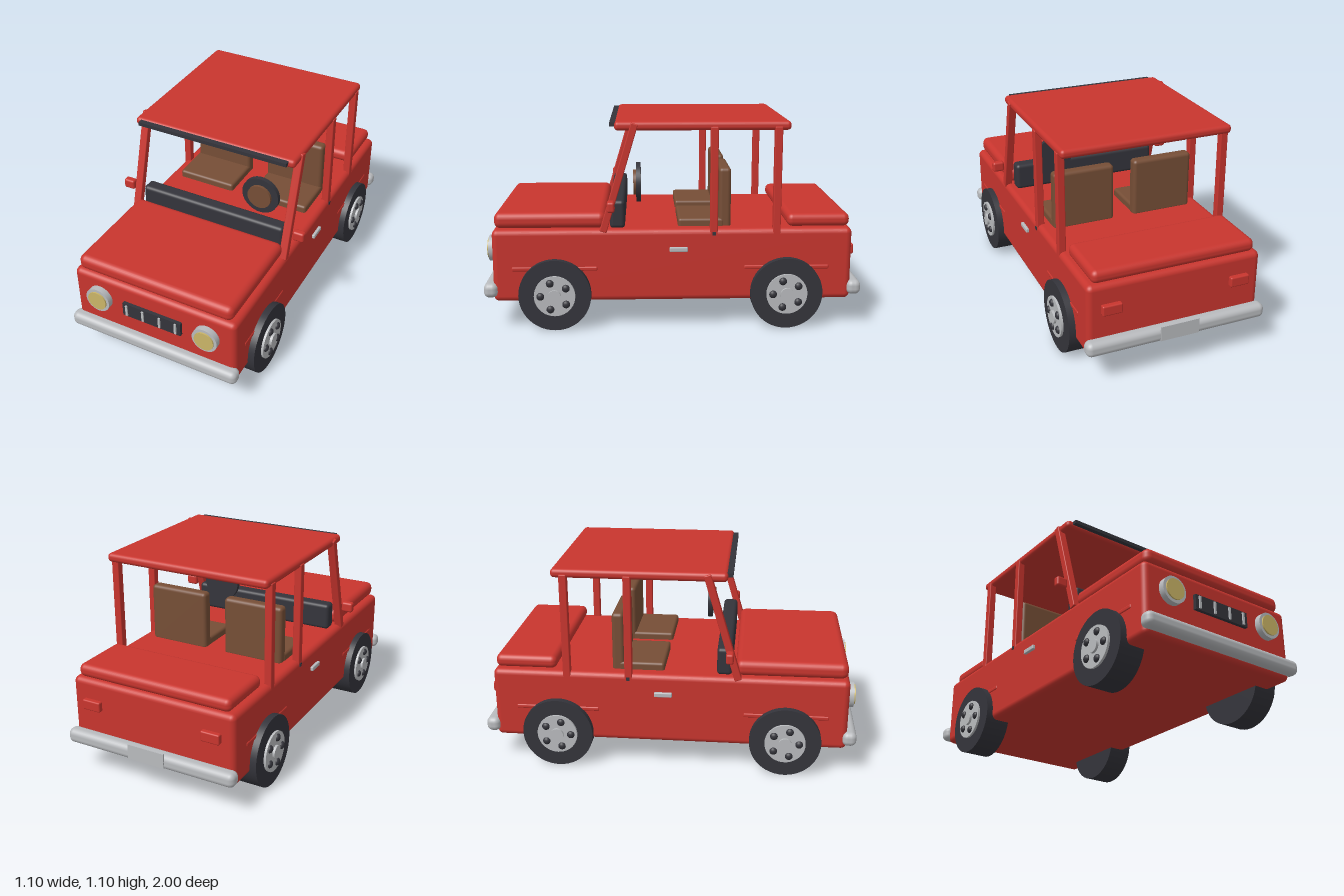
import * as THREE from 'three';
import { RoundedBoxGeometry } from 'three/addons/geometries/RoundedBoxGeometry.js';

const paint = (name, color) => {
  const m = new THREE.MeshStandardMaterial({ color });
  m.name = name;
  return m;
};

export function createModel() {
  const red = paint('red paint', 0xc8352e);
  const dark = paint('dark rubber', 0x34343b);
  const grey = paint('light metal', 0xb9bbbe);
  const brown = paint('brown leather', 0x764e36);
  const yellow = paint('lamp yellow', 0xcbb568);

  const car = new THREE.Group();
  car.name = 'car';

  const add = (name, geometry, material, x, y, z, parent = car) => {
    const mesh = new THREE.Mesh(geometry, material);
    mesh.name = name;
    mesh.position.set(x, y, z);
    parent.add(mesh);
    return mesh;
  };
  // Box given by its limits on each axis, with rounded edges if r > 0
  const box = (name, material, [x0, x1], [y0, y1], [z0, z1], r = 0) => {
    const s = [x1 - x0, y1 - y0, z1 - z0];
    const g = r ? new RoundedBoxGeometry(...s, 3, r) : new THREE.BoxGeometry(...s);
    return add(name, g, material, (x0 + x1) / 2, (y0 + y1) / 2, (z0 + z1) / 2);
  };
  const discX = (r, depth, n = 40) => new THREE.CylinderGeometry(r, r, depth, n).rotateZ(-Math.PI / 2);
  const discZ = (r, depth, n = 40) => new THREE.CylinderGeometry(r, r, depth, n).rotateX(Math.PI / 2);
  // Mirrored x range
  const span = (s, a, b) => (s > 0 ? [a, b] : [-b, -a]);

  // Bodywork
  box('body', red, [-0.47, 0.47], [0.147, 0.535], [-0.94, 0.95], 0.03);
  box('hood', red, [-0.445, 0.445], [0.535, 0.62], [0.355, 0.94], 0.035);
  box('rearLid', red, [-0.44, 0.44], [0.535, 0.605], [-0.93, -0.6], 0.03);
  box('roof', red, [-0.465, 0.465], [1.05, 1.097], [-0.605, 0.305], 0.02);
  box('roofVisor', dark, [-0.43, 0.43], [1.07, 1.09], [0.29, 0.33]);

  // Bumpers and plate
  box('frontBumper', grey, [-0.49, 0.49], [0.172, 0.25], [0.925, 1.0], 0.03);
  box('rearBumper', grey, [-0.49, 0.49], [0.172, 0.25], [-0.995, -0.92], 0.03);
  box('rearPlate', grey, [-0.105, 0.105], [0.185, 0.265], [-1.0, -0.991]);

  // Grille with upright bars
  box('grille', dark, [-0.17, 0.17], [0.355, 0.435], [0.94, 0.968]);
  for (const x of [-0.145, -0.049, 0.049, 0.142]) {
    box('grilleBar', grey, [x - 0.006, x + 0.006], [0.363, 0.428], [0.96, 0.975]);
  }

  // Cabin
  box('dashboard', dark, [-0.425, 0.425], [0.53, 0.68], [0.255, 0.335], 0.02);
  const steering = new THREE.Group();
  steering.name = 'steeringWheel';
  steering.position.set(0.226, 0.742, 0);
  car.add(steering);
  add('steeringRim', discZ(0.107, 0.025), dark, 0, 0, 0.183, steering);
  add('steeringHub', discZ(0.068, 0.018), brown, 0, 0, 0.202, steering);

  for (const s of [1, -1]) {
    // Seats
    box('seatCushion', brown, span(s, 0.06, 0.4), [0.5, 0.576], [-0.27, -0.025], 0.015);
    box('seatBack', brown, span(s, 0.058, 0.398), [0.52, 0.845], [-0.305, -0.24], 0.02);

    // Roof posts
    const post = box('windshieldPost', red, span(s, 0.43, 0.473), [0.51, 1.1], [0.266, 0.304], 0.005);
    post.rotation.x = -0.29;
    box('middlePost', red, span(s, 0.43, 0.47), [0.5, 1.07], [-0.23, -0.19], 0.005);
    box('rearPost', red, span(s, 0.43, 0.47), [0.5, 1.07], [-0.56, -0.52], 0.005);

    // Side details
    box('sideMirror', red, span(s, 0.484, 0.548), [0.64, 0.696], [0.305, 0.345], 0.012);
    box('doorHandle', grey, span(s, 0.465, 0.485), [0.415, 0.44], [-0.073, 0.022], 0.005);
    box('latch', dark, span(s, 0.46, 0.474), [0.5, 0.518], [-0.22, -0.202]);

    // Headlights and tail lights
    add('headlightRim', discZ(0.07, 0.045), grey, s * 0.314, 0.404, 0.96);
    add('headlightLens', discZ(0.054, 0.02), yellow, s * 0.314, 0.404, 0.98);
    box('tailLight', red, span(s, 0.295, 0.4), [0.375, 0.43], [-0.965, -0.93], 0.008);

    for (const z of [0.625, -0.595]) {
      box('fenderTrim', red, span(s, 0.45, 0.474), [0.314, 0.338], [z - 0.225, z + 0.225], 0.008);

      // Wheel with hub, cap and five bolts
      const wheel = new THREE.Group();
      wheel.name = 'wheel';
      wheel.position.set(0, 0.19, z);
      car.add(wheel);
      add('tyre', discX(0.19, 0.14, 48), dark, s * 0.435, 0, 0, wheel);
      add('wheelHub', discX(0.108, 0.02), grey, s * 0.507, 0, 0, wheel);
      add('hubCap', discX(0.035, 0.014, 24), grey, s * 0.523, 0, 0, wheel);
      for (let i = 0; i < 5; i++) {
        const a = (i * Math.PI * 2) / 5;
        const bolt = add('wheelBolt', new THREE.SphereGeometry(0.021, 14, 10), dark,
          s * 0.516, Math.sin(a) * 0.074, Math.cos(a) * 0.074, wheel);
        bolt.scale.x = 0.75;
      }
    }
  }
  return car;
}
